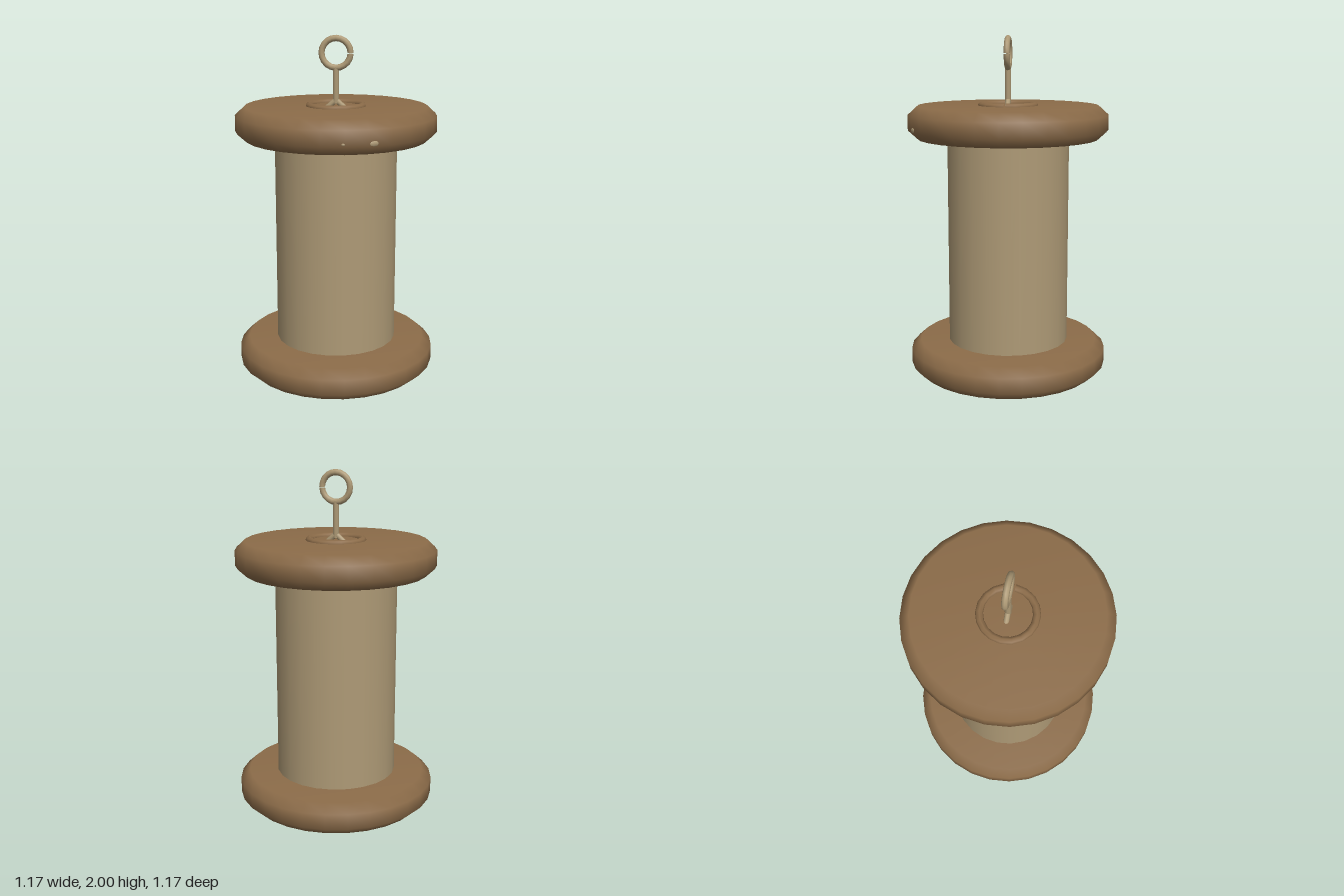
import * as THREE from 'three';

const paint = (name, color) => {
  const m = new THREE.MeshStandardMaterial({ color });
  m.name = name;
  return m;
};

export function createModel() {
  const model = new THREE.Group();
  model.name = 'spool';
  const brown = paint('brown wood', 0x8c6c49);
  const tan = paint('tan thread', 0xae9a76);

  const add = (name, geometry, material, x = 0, y = 0, z = 0) => {
    const mesh = new THREE.Mesh(geometry, material);
    mesh.name = name;
    mesh.position.set(x, y, z);
    model.add(mesh);
    return mesh;
  };

  // Two bevelled end discs, softly shaded over the rim
  const rim = [[0, 0], [0.53, 0], [0.585, 0.05], [0.585, 0.14], [0.53, 0.19], [0, 0.19]]
    .map(([r, y]) => new THREE.Vector2(r, y));
  const disc = new THREE.LatheGeometry(rim, 28);
  add('bottomDisc', disc, brown);
  add('topDisc', disc, brown, 0, 1.407, 0);

  // Thread drum
  add('drum', new THREE.CylinderGeometry(0.358, 0.358, 1.24, 24, 1, true), tan, 0, 0.8, 0);

  // Raised ring around the hanger, split at +x
  const arc = 6.23;
  const collar = add('collar', new THREE.TorusGeometry(0.155, 0.023, 8, 18, arc), brown, 0, 1.594, 0);
  collar.rotation.x = -Math.PI / 2;

  // Hanger: eye, stem and two splayed feet
  add('hangerEye', new THREE.TorusGeometry(0.084, 0.018, 8, 20, arc), tan, 0, 1.898, 0);
  add('hangerStem', new THREE.CylinderGeometry(0.018, 0.018, 0.21, 8), tan, 0, 1.715, 0);
  for (const side of [-1, 1]) {
    const foot = add('hangerFoot', new THREE.CylinderGeometry(0.016, 0.016, 0.09, 8), tan, side * 0.03, 1.603, 0);
    foot.rotation.z = side * 0.85;
  }

  // Small pale chips: two under the bottom disc, two on the top rim
  const chip = new THREE.SphereGeometry(1, 8, 6);
  for (const side of [-1, 1]) {
    add('bottomChip', chip, tan, side * 0.17, 0.001, 0).scale.set(0.045, 0.004, 0.035);
  }
  for (const [angle, width, height] of [[0.487, 0.034, 0.018], [0.207, 0.014, 0.01]]) {
    const mark = add('rimChip', chip, tan, Math.sin(angle) * 0.578, 1.472, Math.cos(angle) * 0.578);
    mark.rotation.y = angle;
    mark.scale.set(width, height, 0.009);
  }

  return model;
}
